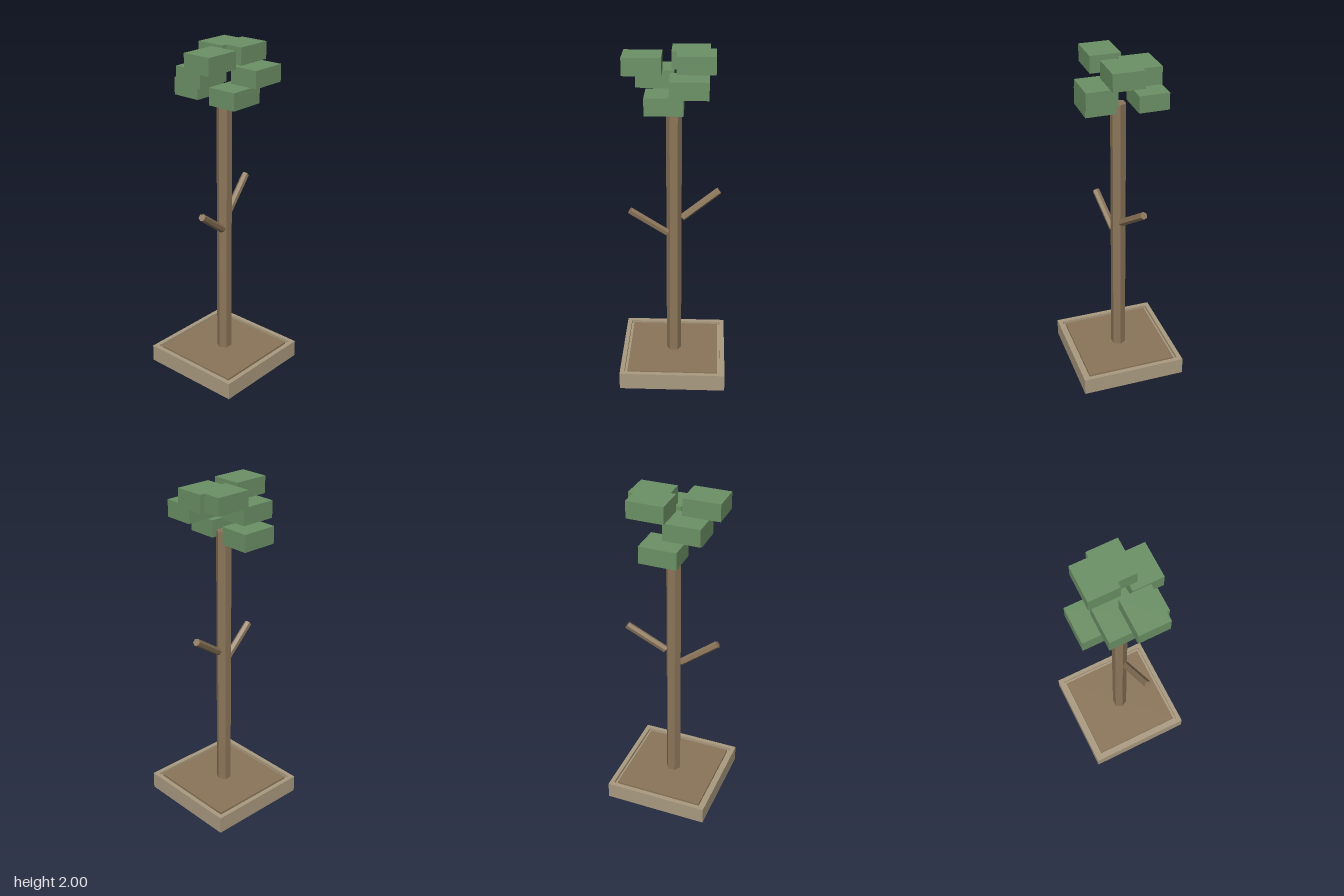
import * as THREE from 'three';

const material = (name, color) => {
  const m = new THREE.MeshStandardMaterial({ color });
  m.name = name;
  return m;
};

export function createModel() {
  const group = new THREE.Group();
  const bark = material('brown bark', 0x8b7559);
  const stone = material('tan planter', 0xaa9a80);
  const leaf = material('leaf green', 0x6c9166);

  const add = (name, geometry, mat, x = 0, y = 0, z = 0) => {
    const mesh = new THREE.Mesh(geometry, mat);
    mesh.name = name;
    mesh.position.set(x, y, z);
    group.add(mesh);
    return mesh;
  };

  // Hexagonal prism with flat facets
  const hexPrism = (radius, length) => {
    const g = new THREE.CylinderGeometry(radius, radius, length, 6, 1, false, Math.PI / 2).toNonIndexed();
    g.computeVertexNormals();
    return g;
  };

  // Planter: a floor, a square rim with a recess, and the soil block in it
  const floorTop = 0.085, rimTop = 0.105, half = 0.317, hole = 0.29, cut = 0.005;
  add('planterFloor', new THREE.BoxGeometry(half * 2, floorTop, half * 2), stone, 0, floorTop / 2, 0);

  const rim = new THREE.Shape([[-1, -1], [1, -1], [1, 1], [-1, 1]]
    .map(([x, y]) => new THREE.Vector2(x * half, y * half)));
  const h = hole, c = hole - cut;
  rim.holes.push(new THREE.Path([[-h, -c], [-h, c], [-c, h], [c, h], [h, c], [h, -c], [c, -h], [-c, -h]]
    .map(([x, y]) => new THREE.Vector2(x, y))));
  const rimGeometry = new THREE.ExtrudeGeometry(rim, { depth: rimTop - floorTop, bevelEnabled: false });
  rimGeometry.rotateX(-Math.PI / 2);
  add('planterRim', rimGeometry, stone, 0, floorTop, 0);
  add('soil', new THREE.BoxGeometry(0.546, 0.015, 0.546), bark, 0, floorTop + 0.0075, 0);

  // Trunk
  const trunkBottom = 0.095, trunkTop = 1.74;
  add('trunk', hexPrism(0.045, trunkTop - trunkBottom), bark, 0, (trunkBottom + trunkTop) / 2, 0);

  // Bare side branches, each from its root to its tip
  const branch = (name, root, tip) => {
    const a = new THREE.Vector3(...root), b = new THREE.Vector3(...tip);
    const mesh = add(name, hexPrism(0.022, a.distanceTo(b)), bark);
    mesh.position.copy(a).add(b).multiplyScalar(0.5);
    mesh.quaternion.setFromUnitVectors(new THREE.Vector3(0, 1, 0), b.sub(a).normalize());
  };
  branch('leftBranch', [0.048, 1.003, -0.006], [0.265, 1.157, -0.063]);
  branch('rightBranch', [-0.04, 0.918, 0.02], [-0.253, 1.073, 0.057]);

  // Foliage blocks: centre x, layer bottom y, centre z
  [
    [-0.014, 1.7, -0.179],
    [-0.048, 1.7, 0.117],
    [-0.106, 1.8, -0.073],
    [0.089, 1.8, 0.153],
    [-0.171, 1.9, 0.051],
    [0.093, 1.9, -0.089],
    [0.125, 1.9, 0.018],
  ].forEach(([x, y, z], i) =>
    add(`foliageBlock${i + 1}`, new THREE.BoxGeometry(0.215, 0.1, 0.178), leaf, x, y + 0.05, z));

  return group;
}
